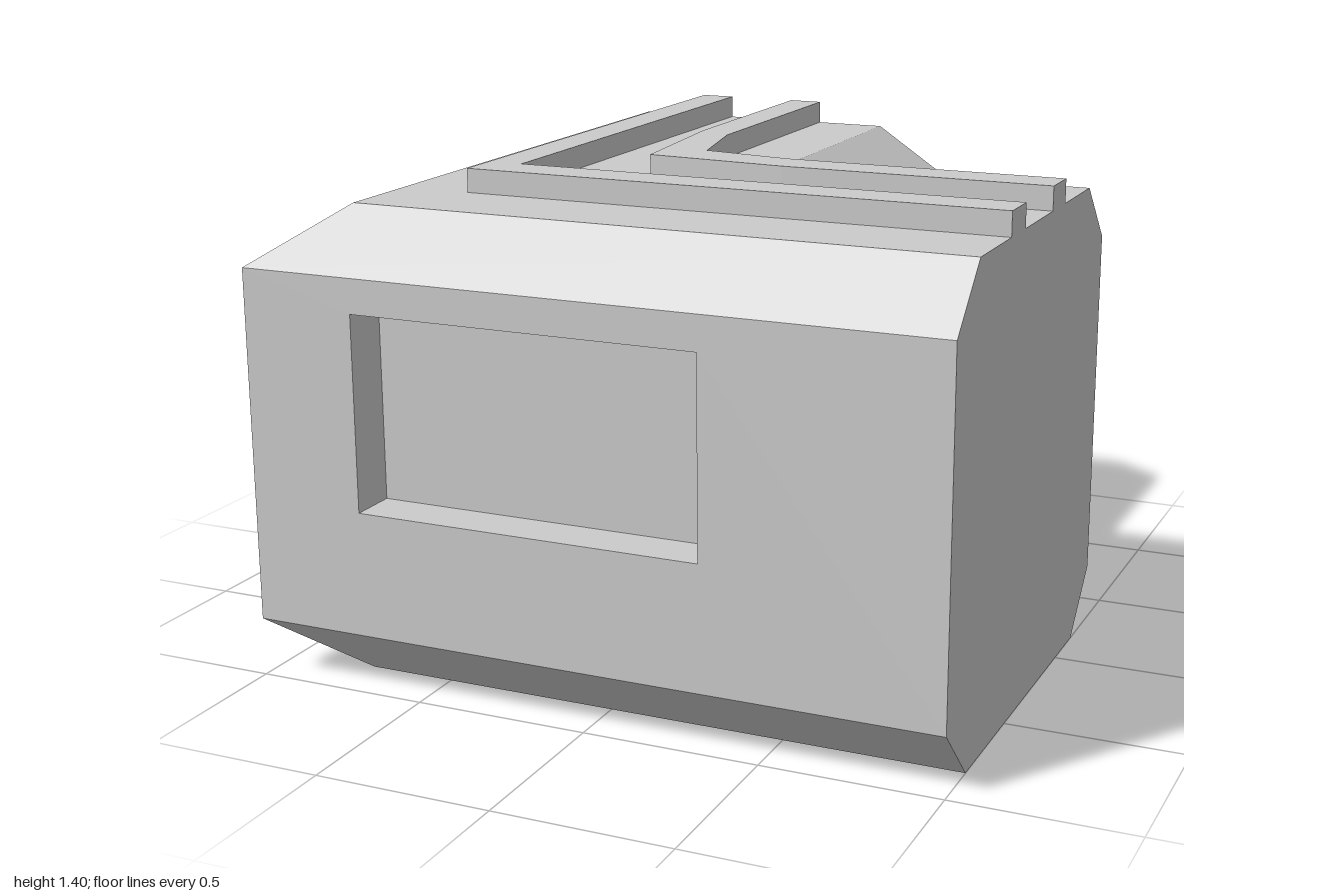
import * as THREE from 'three';

const material = new THREE.MeshStandardMaterial({ color: 0xcccccc, flatShading: true });
const TOP = 1.333, LOW = 0.167, HIGH = 1.167;

// Flat-faced mesh from convex polygons, corners counter-clockwise
function polygonMesh(name, polygons) {
  const pos = [];
  for (const p of polygons) {
    for (let i = 1; i < p.length - 1; i++) pos.push(...p[0], ...p[i], ...p[i + 1]);
  }
  const geo = new THREE.BufferGeometry();
  geo.setAttribute('position', new THREE.Float32BufferAttribute(pos, 3));
  geo.computeVertexNormals();
  const mesh = new THREE.Mesh(geo, material);
  mesh.name = name;
  return mesh;
}

// L-shaped corridor: an octagonal section mitred round the corner
function corridorShell() {
  // Section points: x on the back arm, z on the side arm, height
  const section = [
    [-1, 1, LOW], [-1, 1, HIGH], [-0.75, 0.833, TOP], [0.083, -0.167, TOP],
    [0.333, -0.333, HIGH], [0.333, -0.333, LOW], [0.083, -0.167, 0], [-0.75, 0.833, 0],
  ];
  const rings = [
    section.map(([x, , y]) => [x, y, -1]),
    section.map(([x, z, y]) => [x, y, z]),
    section.map(([, z, y]) => [1, y, z]),
  ];
  const faces = [rings[0], [...rings[2]].reverse()]; // end caps
  for (let s = 0; s < 2; s++) {
    const a = rings[s], b = rings[s + 1];
    // The outer wall (i = 0) is left open for the window walls
    for (let i = 1; i < 8; i++) {
      const j = (i + 1) % 8;
      faces.push([a[i], b[i], b[j], a[j]]);
    }
  }
  return polygonMesh('corridorShell', faces);
}

// Outer wall with a shallow rectangular window recess, facing +z
function windowWall(name, x0, x1) {
  const y0 = 0.52, y1 = 1.07, depth = 0.14;
  const wall = new THREE.Group();
  wall.name = name;

  const rect = (l, b, r, t) => [[l, b], [r, b], [r, t], [l, t]].map(([x, y]) => new THREE.Vector2(x, y));
  const shape = new THREE.Shape(rect(-1, LOW, 1, HIGH));
  shape.holes.push(new THREE.Path(rect(x0, y0, x1, y1)));
  const panel = new THREE.Mesh(new THREE.ShapeGeometry(shape), material);
  panel.name = 'wallPanel';

  const corners = [[x0, y0], [x1, y0], [x1, y1], [x0, y1]];
  const front = corners.map(([x, y]) => [x, y, 0]);
  const back = corners.map(([x, y]) => [x, y, -depth]);
  const faces = [back];
  for (let i = 0; i < 4; i++) {
    const j = (i + 1) % 4;
    faces.push([front[i], front[j], back[j], back[i]]);
  }
  wall.add(panel, polygonMesh('windowRecess', faces));
  return wall;
}

// Raised roof rail from an [x, z] outline
function roofRail(name, outline) {
  const shape = new THREE.Shape(outline.map(([x, z]) => new THREE.Vector2(x, -z)));
  const geo = new THREE.ExtrudeGeometry(shape, { depth: 0.067, bevelEnabled: false });
  geo.rotateX(-Math.PI / 2);
  const mesh = new THREE.Mesh(geo, material);
  mesh.position.y = TOP;
  mesh.name = name;
  return mesh;
}

export function createModel() {
  const model = new THREE.Group();
  model.name = 'corridorCorner';
  model.add(corridorShell());

  // Front wall and the matching wall on the other outer side
  const frontWall = windowWall('frontWindowWall', -0.667, 0.333);
  frontWall.position.z = 1;
  const sideWall = windowWall('sideWindowWall', -0.333, 0.667);
  sideWall.rotation.y = -Math.PI / 2;
  sideWall.position.x = -1;
  model.add(frontWall, sideWall);

  // Square-cornered outer rail and softened inner rail
  model.add(roofRail('outerRoofRail', [
    [-0.545, -1], [-0.545, 0.58], [1, 0.58], [1, 0.457], [-0.443, 0.457], [-0.443, -1],
  ]));
  model.add(roofRail('innerRoofRail', [
    [-0.23, -1], [-0.23, -0.29], [-0.185, 0.173], [0.23, 0.205], [1, 0.205],
    [1, 0.083], [0.2, 0.083], [-0.067, 0.042], [-0.128, -0.24], [-0.128, -1],
  ]));
  return model;
}
